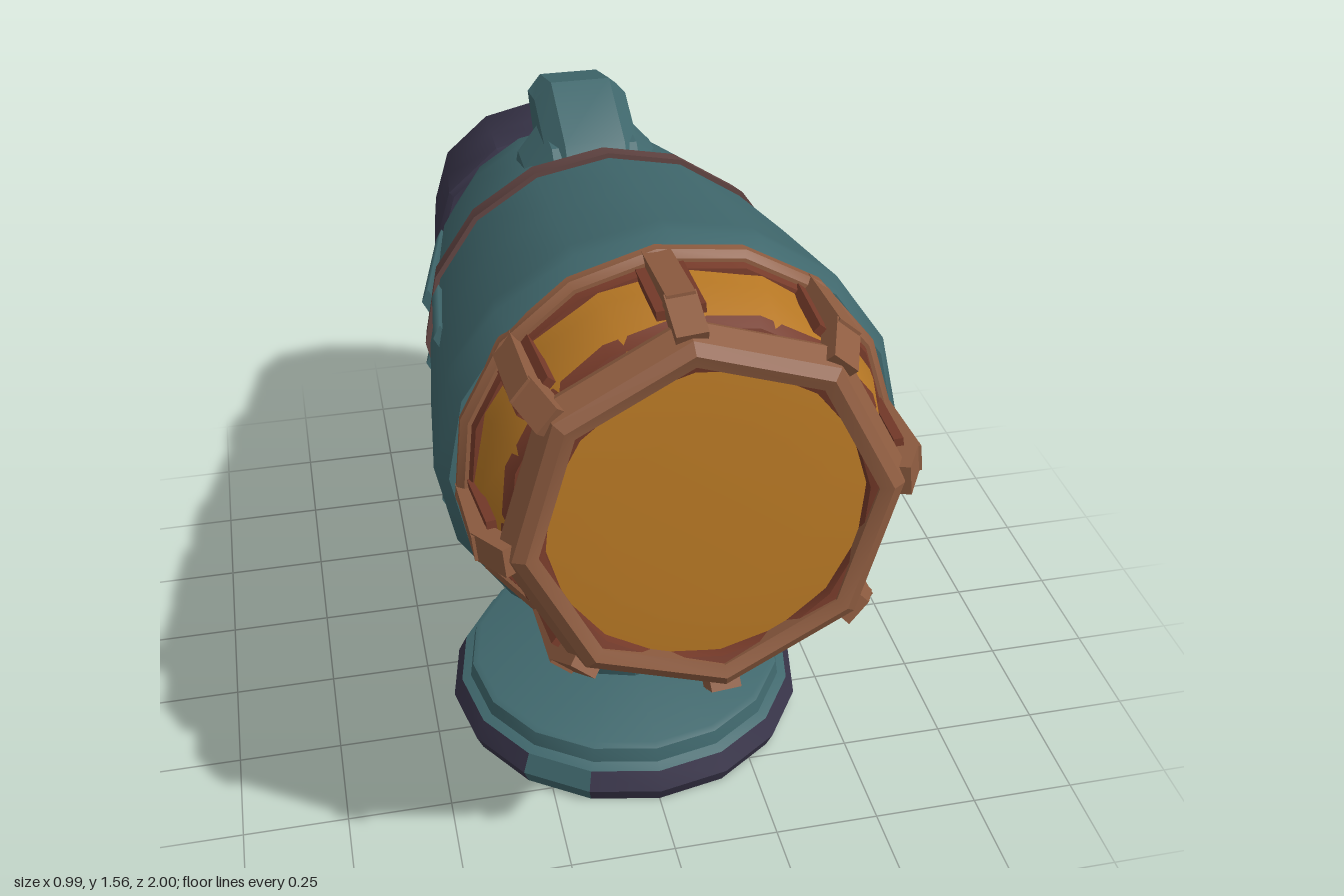
import * as THREE from 'three';
import { toCreasedNormals } from 'three/addons/utils/BufferGeometryUtils.js';

const mat = (name, color) => {
  const m = new THREE.MeshStandardMaterial({ color });
  m.name = name;
  return m;
};

export function createModel() {
  const teal = mat('teal paint', 0x40686d);
  const dark = mat('dark violet rubber', 0x39354a);
  const copper = mat('copper', 0x8e5c40);
  const rust = mat('rust', 0x753a29);
  const amber = mat('amber glass', 0xb67724);
  const leather = mat('brown strap', 0x614442);

  const model = new THREE.Group();
  model.name = 'searchlight';

  const add = (parent, name, geo, material) => {
    const mesh = new THREE.Mesh(geo, material);
    mesh.name = name;
    parent.add(mesh);
    return mesh;
  };

  // Turned part; profile pairs are [radius, height], listed upwards on the outside
  const turned = (profile, sides, start = 0, count = sides) => new THREE.LatheGeometry(
    profile.map(([r, h]) => new THREE.Vector2(r, h)), count, start, (count * Math.PI * 2) / sides);
  const crease = (geo, angle = 0.75) => toCreasedNormals(geo, angle);
  // Turned part lying along z
  const turnedZ = (profile, sides, start, count) => turned(profile, sides, start, count).rotateX(Math.PI / 2);

  // Side outline in [z, y] pairs, extruded across x
  const sideProfile = (pts, width, bevel) => {
    const shape = new THREE.Shape(pts.map(([z, y]) => new THREE.Vector2(z, y)));
    const geo = new THREE.ExtrudeGeometry(shape, {
      depth: width - 2 * bevel, bevelEnabled: true, bevelSize: bevel, bevelThickness: bevel,
      bevelOffset: -bevel, bevelSegments: 1,
    });
    geo.translate(0, 0, bevel - width / 2);
    return crease(geo.rotateY(-Math.PI / 2), 0.5);
  };

  // ---- Base: dark rim with worn sectors showing paint
  const base = new THREE.Group();
  base.name = 'base';
  base.position.z = 0.165;
  base.scale.z = 0.98;
  model.add(base);
  const seg = (Math.PI * 2) / 16;
  const rim = [[0.43, 0], [0.447, 0.04], [0.425, 0.088]];
  for (const [first, count, material] of [[15, 7, dark], [6, 2, teal], [8, 6, dark], [14, 1, teal]]) {
    add(base, 'baseRim', crease(turned(rim, 16, first * seg, count)), material);
  }
  add(base, 'baseUnderside', new THREE.CircleGeometry(0.43, 16).rotateX(Math.PI / 2), dark);
  add(base, 'basePlate', crease(turned(
    [[0.425, 0.088], [0.402, 0.098], [0.395, 0.135], [0.38, 0.142], [0, 0.142]], 16)), teal);

  // ---- Leaning pillar
  const lean = (geo) => {
    const p = geo.attributes.position;
    for (let i = 0; i < p.count; i++) {
      p.setX(i, p.getX(i) * 0.93);
      p.setZ(i, p.getZ(i) + 0.1 + (p.getY(i) - 0.14) * 0.25);
    }
    geo.computeVertexNormals();
    return geo;
  };
  const pillarRadius = (y) => 0.2 - (y - 0.12) * 0.06;
  add(model, 'pillar', lean(new THREE.CylinderGeometry(pillarRadius(0.52), pillarRadius(0.12), 0.4, 12, 1, true)
    .translate(0, 0.32, 0)), teal);
  // Dark patches that hug the pillar: [angle, angular width, y, height]
  const patches = [[0, 0.7, 0.225, 0.06], [0.8, 0.2, 0.17, 0.04]];
  for (const side of [1, -1]) {
    patches.push([side * 1.68, 0.52, 0.435, 0.05], [side * 1.8, 0.46, 0.23, 0.05]);
  }
  for (const [angle, width, y, h] of patches) {
    const r = pillarRadius(y) + 0.004;
    // a wide and a tall strip together give clipped corners
    for (const [k, rows] of [[1, 0.55], [0.8, 1]]) {
      add(model, 'pillarPatch', lean(new THREE.CylinderGeometry(r, r, h * rows, 6, 1, true,
        angle - width * k / 2, width * k).translate(0, y, 0)), dark);
    }
  }

  // ---- Collar under the lamp body
  const collar = add(model, 'collar', crease(turned(
    [[0, 0.47], [0.25, 0.465], [0.264, 0.485], [0.26, 0.55], [0.23, 0.585], [0.23, 0.61], [0.29, 0.72]], 12)), teal);
  collar.position.z = 0.21;
  collar.scale.x = 0.86;
  collar.rotation.z = 0.03;

  // ---- Lamp head: local z runs along its axis, tilted slightly upwards
  const head = new THREE.Group();
  head.name = 'lampHead';
  head.position.set(0, 1.09, 0.655);
  head.rotation.x = -0.11;
  model.add(head);

  const body = add(head, 'body', crease(turnedZ(
    [[0.285, -1.3], [0.325, -1.2], [0.378, -1.02], [0.42, -0.76], [0.433, -0.66], [0.466, -0.36],
      [0.488, -0.12], [0.495, -0.05], [0.47, 0.005], [0, 0.005]], 16)), teal);
  body.scale.y = 0.95;

  // Strap round the body, dark along its underside
  const strapProfile = [[0.41, -0.71], [0.437, -0.71], [0.447, -0.64], [0.42, -0.64]];
  for (const [name, first, count, material] of [['strapBottom', -2, 5, dark], ['strap', 3, 11, leather]]) {
    add(head, name, crease(turnedZ(strapProfile, 16, first * seg, count)), material).scale.y = 0.95;
  }

  // Shallow raised folds along both sides
  for (const side of [1, -1]) {
    for (const [y, z, length, x, turn] of [[0.08, -0.88, 0.38, 0.39, 0.2], [-0.08, -0.9, 0.42, 0.387, 0.2],
      [0.15, -0.45, 0.22, 0.425, 0.1], [-0.14, -0.3, 0.3, 0.444, 0.09]]) {
      const fold = add(head, 'sideFold', new THREE.CylinderGeometry(0.03, 0.03, length, 4).rotateX(Math.PI / 2), teal);
      fold.position.set(side * x, y, z);
      fold.rotation.y = side * turn;
      fold.scale.x = 0.55;
    }
  }

  // Rear cap
  const cap = add(head, 'rearCap', crease(turnedZ(
    [[0, -1.652], [0.295, -1.642], [0.312, -1.62], [0.338, -1.42], [0.357, -1.25], [0.345, -1.23], [0.27, -1.25]], 12)), dark);
  cap.scale.y = 0.84;
  cap.position.y = -0.014;

  // ---- Amber lens
  add(head, 'lens', crease(turnedZ(
    [[0.435, 0], [0.42, 0.09], [0.392, 0.19], [0.34, 0.262], [0.2, 0.272], [0, 0.262]], 16), 0.5), amber);

  // ---- Copper cage
  const cage = new THREE.Group();
  cage.name = 'cage';
  head.add(cage);
  const offset = THREE.MathUtils.degToRad(5);
  add(cage, 'cageBackRing', crease(turnedZ(
    [[0.44, -0.01], [0.462, -0.005], [0.462, 0.02], [0.448, 0.033], [0.42, 0.033]], 16, offset), 0.5), copper);
  add(cage, 'cageBackRust', crease(turnedZ([[0.441, 0.03], [0.434, 0.05], [0.41, 0.052]], 16, offset), 0.5), rust);
  add(cage, 'cageShoulderRust', crease(turnedZ([[0.396, 0.19], [0.38, 0.215], [0.36, 0.22]], 16, offset), 0.5), rust);
  add(cage, 'cageFrontRing', crease(turnedZ(
    [[0.345, 0.25], [0.375, 0.228], [0.408, 0.226], [0.414, 0.248], [0.39, 0.29], [0.365, 0.305], [0.338, 0.295],
      [0.345, 0.25]], 8, offset), 0.4), copper);
  add(cage, 'cageFrontRust', crease(turnedZ([[0.342, 0.29], [0.323, 0.284], [0.321, 0.262]], 16, offset), 0.4), rust);

  // Bar in the radial plane between [radius, z] points
  const bar = (parent, name, a, b, thick, width, material) => {
    const dr = b[0] - a[0], dz = b[1] - a[1];
    const mesh = add(parent, name, new THREE.BoxGeometry(thick, width, Math.hypot(dr, dz)), material);
    mesh.position.set((a[0] + b[0]) / 2, 0, (a[1] + b[1]) / 2);
    mesh.rotation.y = Math.atan2(dr, dz);
  };
  for (let i = 0; i < 8; i++) {
    const spoke = new THREE.Group();
    spoke.name = 'cageSpoke';
    spoke.rotation.z = offset - Math.PI / 2 + (i * Math.PI) / 4;
    cage.add(spoke);
    bar(spoke, 'spokeBar', [0.437, 0.005], [0.432, 0.215], 0.042, 0.056, copper);
    bar(spoke, 'spokeTip', [0.434, 0.195], [0.385, 0.28], 0.042, 0.062, copper);
    bar(spoke, 'spokeRust', [0.425, 0.02], [0.41, 0.205], 0.02, 0.096, rust);
  }

  // ---- Nub on top with its wider foot, grip below the rear cap, loose strap end
  add(model, 'topNub', sideProfile(
    [[-0.06, 1.37], [-0.11, 1.43], [-0.29, 1.51], [-0.45, 1.465], [-0.345, 1.335], [-0.35, 1.25], [-0.08, 1.25]],
    0.22, 0.04), teal).position.x = -0.015;
  add(model, 'topNubFoot', sideProfile(
    [[-0.06, 1.37], [-0.12, 1.42], [-0.28, 1.42], [-0.36, 1.32], [-0.36, 1.2], [-0.06, 1.2]], 0.32, 0.06), teal)
    .position.x = -0.015;
  add(model, 'rearGrip', sideProfile(
    [[-0.51, 0.66], [-0.505, 0.56], [-0.63, 0.34], [-0.82, 0.345], [-0.87, 0.465], [-0.82, 0.62], [-0.8, 0.75], [-0.58, 0.75]],
    0.22, 0.045), dark);
  const tail = new THREE.Shape([[-0.1, 0.05], [0.1, 0.05], [0.03, -0.41], [-0.02, -0.4]]
    .map(([x, z]) => new THREE.Vector2(x, -z)));
  add(model, 'strapTail', new THREE.ExtrudeGeometry(tail, { depth: 0.025, bevelEnabled: false })
    .rotateX(-Math.PI / 2).translate(0, 0.585, 0), dark);

  return model;
}
